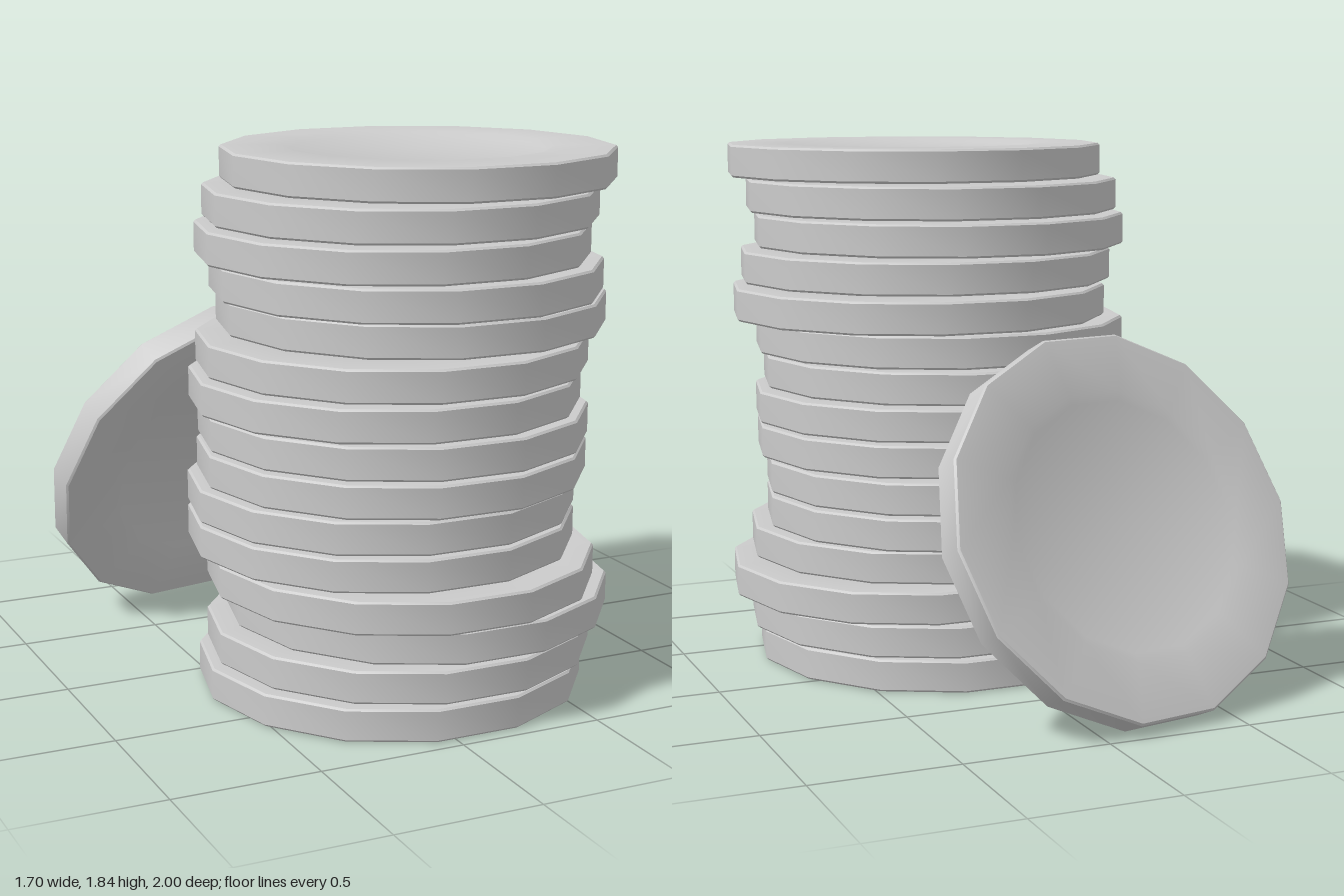
import * as THREE from 'three';
import { toCreasedNormals } from 'three/addons/utils/BufferGeometryUtils.js';

const RADIUS = 0.665, HALF = 0.056, PITCH = 0.1235;

// 14-sided disc with a small edge bevel and a shallow recess on both faces
function discGeometry() {
  const bevel = 0.007, depth = 0.012;
  const upper = [
    [RADIUS, HALF - bevel], [RADIUS - bevel, HALF],
    [0.46, HALF], [0.43, HALF - depth], [0, HALF - depth],
  ];
  const lower = upper.map(([r, y]) => [r, -y]).reverse();
  const profile = [...lower, ...upper].map(([r, y]) => new THREE.Vector2(r, y));
  return toCreasedNormals(new THREE.LatheGeometry(profile, 14, Math.PI / 2), 0.6);
}

export function createModel() {
  const model = new THREE.Group();
  model.name = 'coinStack';
  const geometry = discGeometry();
  const material = new THREE.MeshStandardMaterial({ color: 0xcccccc });

  const addCoin = (name, x, y, z) => {
    const coin = new THREE.Mesh(geometry, material);
    coin.name = name;
    coin.position.set(x, y, z);
    model.add(coin);
    return coin;
  };

  // Unevenly stacked coins, bottom to top: [x, z]
  const offsets = [
    [0.078, 0.308], [0.109, 0.308], [0.176, 0.308], [0.094, 0.35], [0.055, 0.276],
    [0.055, 0.276], [0.078, 0.308], [0.083, 0.308], [0.051, 0.308], [0.078, 0.308],
    [0.173, 0.26], [0.13, 0.308], [0.078, 0.308], [0.107, 0.308], [0.172, 0.308],
  ];
  offsets.forEach(([x, z], i) => addCoin(`stackedCoin${i + 1}`, x, 0.005 + HALF + i * PITCH, z));

  // Coin leaning against the back of the stack
  addCoin('leaningCoin', -0.195, 0.61, -0.65).rotation.set(-1.13, 0.2, 0, 'YXZ');

  return model;
}
